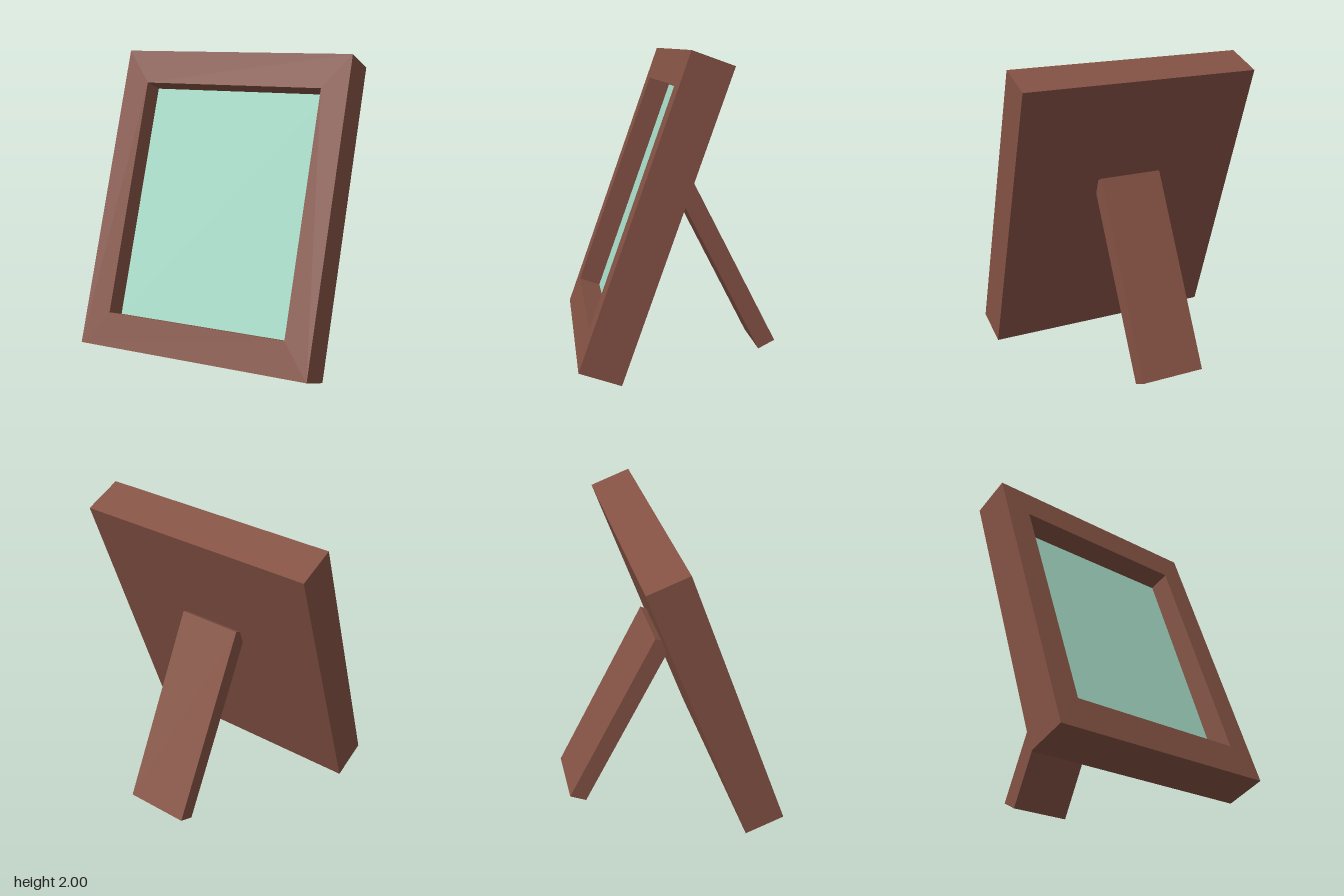
import * as THREE from 'three';

export function createModel() {
  const model = new THREE.Group();
  model.name = 'pictureFrame';
  const wood = new THREE.MeshStandardMaterial({ color: 0x845244, flatShading: true });
  const green = new THREE.MeshStandardMaterial({ color: 0xa3d8c3, flatShading: true });

  const width = 1.616, height = 2.016, thickness = 0.275, recess = 0.153;
  const openW = 1.26, openH = 1.57;

  const add = (parent, name, geometry, material, x, y, z) => {
    const mesh = new THREE.Mesh(geometry, material);
    mesh.name = name;
    mesh.position.set(x, y, z);
    parent.add(mesh);
    return mesh;
  };
  // Corners of a centred rectangle
  const corners = (w, h) => [[-1, -1], [1, -1], [1, 1], [-1, 1]]
    .map(([x, y]) => new THREE.Vector2(x * w / 2, y * h / 2));

  // Leaning frame, centred on its own middle
  const leaning = new THREE.Group();
  leaning.name = 'leaningFrame';
  leaning.position.set(0, 1.006, 0.207);
  leaning.rotation.x = -0.3414;
  model.add(leaning);

  // Rectangular border around the opening
  const border = new THREE.Shape(corners(width, height));
  border.holes.push(new THREE.Path(corners(openW, openH).reverse()));
  add(leaning, 'border',
    new THREE.ExtrudeGeometry(border, { depth: recess, bevelEnabled: false }),
    wood, 0, 0, thickness / 2 - recess);

  // Solid back closing the recess
  const backDepth = thickness - recess;
  add(leaning, 'backBoard', new THREE.BoxGeometry(width, height, backDepth),
    wood, 0, 0, -thickness / 2 + backDepth / 2);

  // Coloured picture at the bottom of the recess
  add(leaning, 'picture', new THREE.PlaneGeometry(openW, openH),
    green, 0, 0, thickness / 2 - recess + 0.003);

  // Rear prop, its top end sunk into the back board
  const leg = add(model, 'supportLeg', new THREE.BoxGeometry(0.43, 1.342, 0.123),
    wood, 0, 0.626, -0.31);
  leg.rotation.x = 0.472;

  return model;
}
